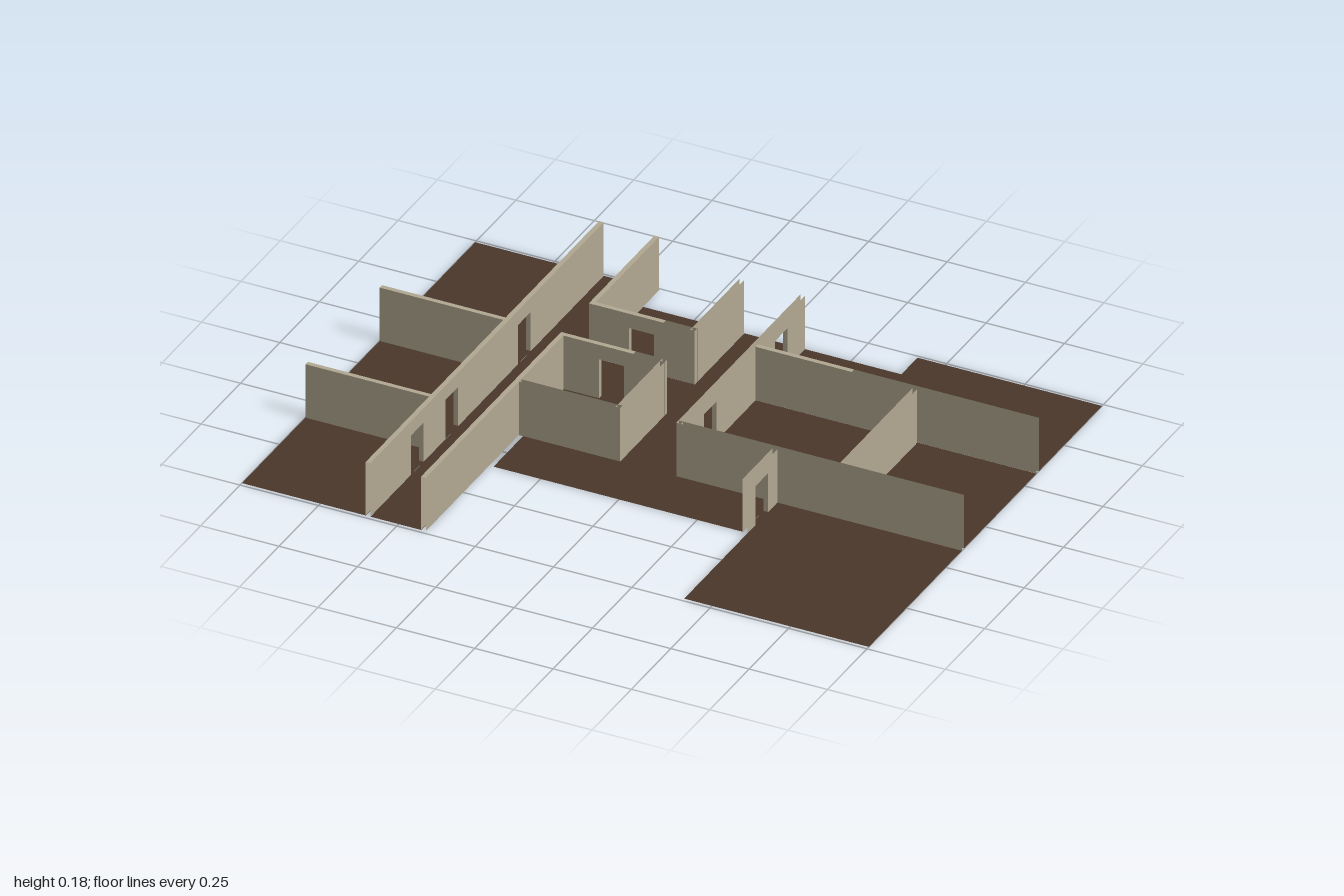
import * as THREE from 'three';

const H = 0.178, DOOR_H = 0.13, T = 0.015;
const wallMat = new THREE.MeshStandardMaterial({ color: 0xb2a892, side: THREE.DoubleSide });
const floorMat = new THREE.MeshStandardMaterial({ color: 0x4a372a, side: THREE.DoubleSide });

function outline(points) {
  return new THREE.Shape(points.map(([x, y]) => new THREE.Vector2(x, y)));
}

// Flat horizontal rectangle
function slab(x0, x1, z0, z1, y, mat, name) {
  const mesh = new THREE.Mesh(new THREE.PlaneGeometry(x1 - x0, z1 - z0).rotateX(-Math.PI / 2), mat);
  mesh.position.set((x0 + x1) / 2, y, (z0 + z1) / 2);
  mesh.name = name;
  return mesh;
}

// Hollow partition: two skins with doorways, lined openings and an optional top cap
function wall({ name, along, at, from, to, doors = [], cap }) {
  const g = new THREE.Group();
  g.name = name;
  const pts = [[from, 0]];
  for (const [a, b] of doors) pts.push([a, 0], [a, DOOR_H], [b, DOOR_H], [b, 0]);
  pts.push([to, 0], [to, H], [from, H]);
  for (const side of [-1, 1]) {
    const skin = new THREE.Mesh(new THREE.ShapeGeometry(outline(pts)), wallMat);
    skin.position.z = side * T / 2;
    skin.name = 'wallFace';
    g.add(skin);
  }
  for (const [a, b] of doors) {
    for (const u of [a, b]) {
      const jamb = new THREE.Mesh(new THREE.PlaneGeometry(T, DOOR_H).rotateY(Math.PI / 2), wallMat);
      jamb.position.set(u, DOOR_H / 2, 0);
      jamb.name = 'doorJamb';
      g.add(jamb);
    }
    g.add(slab(a, b, -T / 2, T / 2, DOOR_H, wallMat, 'doorLintel'));
    g.add(slab(a, b, -T / 2, T / 2, 0, floorMat, 'doorThreshold'));
  }
  if (cap) g.add(slab(cap[0], cap[1], -T / 2, T / 2, H, wallMat, 'wallTop'));
  if (along === 'z') {
    g.rotation.y = -Math.PI / 2;
    g.position.x = at;
  } else g.position.z = at;
  return g;
}

export function createModel() {
  const model = new THREE.Group();
  model.name = 'floorPlan';

  // Room floors: x0, x1, z0, z1
  const floors = {
    backRightRoom: [-1, -0.605, -0.742, -0.15],
    middleRightRoom: [-1, -0.605, -0.136, 0.321],
    frontRightRoom: [-1, -0.605, 0.335, 0.738],
    sideCorridor: [-0.59, -0.428, -0.742, 0.738],
    crossPassage: [-0.428, -0.09, -0.326, -0.15],
    backSmallRoom: [-0.413, -0.105, -0.64, -0.341],
    frontSmallRoom: [-0.413, -0.105, -0.136, 0.132],
    centreCorridor: [-0.09, 0.09, -0.64, 0.147],
    lobby: [-0.4, 0.396, 0.147, 0.335],
    middleLeftRoom: [0.102, 0.605, -0.326, 0.132],
    outerLeftRoom: [0.62, 1, -0.326, 0.132],
    frontLeftRoom: [0.411, 1, 0.147, 0.738],
  };
  for (const [name, r] of Object.entries(floors)) model.add(slab(...r, 0, floorMat, name + 'Floor'));

  // Stepped floor of the back left room
  const stepped = new THREE.Mesh(new THREE.ShapeGeometry(outline([
    [0.102, 0.341], [1, 0.341], [1, 0.742], [0.411, 0.742], [0.411, 0.64], [0.102, 0.64],
  ])).rotateX(-Math.PI / 2), floorMat);
  stepped.name = 'backLeftRoomFloor';
  model.add(stepped);

  // Partitions
  const walls = [
    { name: 'sideCorridorOuterWall', along: 'z', at: -0.598, from: -0.742, to: 0.738,
      doors: [[-0.28, -0.2], [0.18, 0.26], [0.4, 0.48]], cap: [-0.742, 0.738] },
    { name: 'sideCorridorBackWall', along: 'z', at: -0.421, from: -0.742, to: -0.326, cap: [-0.742, -0.326] },
    { name: 'sideCorridorFrontWall', along: 'z', at: -0.421, from: -0.15, to: 0.738, cap: [-0.15, 0.738] },
    { name: 'backRightDivider', along: 'x', at: -0.143, from: -1, to: -0.605, cap: [-1, -0.605] },
    { name: 'frontRightDivider', along: 'x', at: 0.328, from: -1, to: -0.605, cap: [-1, -0.605] },
    { name: 'backSmallRoomWall', along: 'x', at: -0.334, from: -0.428, to: -0.09,
      doors: [[-0.3, -0.22]], cap: [-0.428, -0.19] },
    { name: 'frontSmallRoomWall', along: 'x', at: -0.143, from: -0.428, to: -0.09,
      doors: [[-0.3, -0.22]], cap: [-0.428, -0.19] },
    { name: 'backSmallRoomSideWall', along: 'z', at: -0.098, from: -0.64, to: -0.326 },
    { name: 'frontSmallRoomSideWall', along: 'z', at: -0.098, from: -0.15, to: 0.147 },
    { name: 'lobbyRightWall', along: 'x', at: 0.14, from: -0.413, to: -0.09 },
    { name: 'centreCorridorLeftWall', along: 'z', at: 0.096, from: -0.64, to: 0.147,
      doors: [[-0.53, -0.45], [-0.08, 0]] },
    { name: 'backLeftDivider', along: 'x', at: -0.334, from: 0.102, to: 1, cap: [0.102, 0.411] },
    { name: 'frontLeftDivider', along: 'x', at: 0.14, from: 0.09, to: 1 },
    { name: 'outerLeftDivider', along: 'z', at: 0.612, from: -0.326, to: 0.132 },
    { name: 'lobbyLeftWall', along: 'z', at: 0.404, from: 0.147, to: 0.338, doors: [[0.206, 0.286]] },
  ];
  for (const w of walls) model.add(wall(w));
  return model;
}
